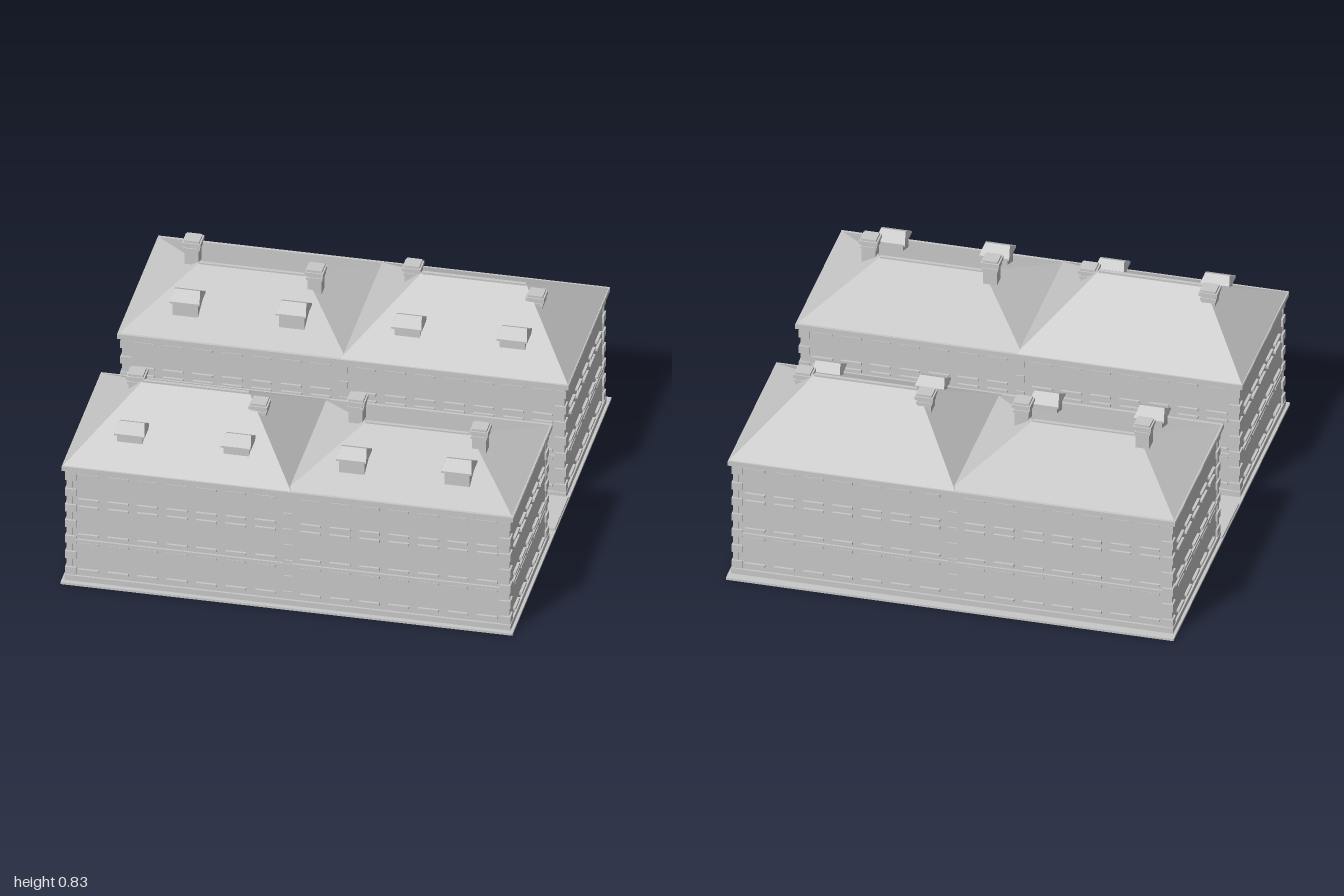
import * as THREE from 'three';

const stone = new THREE.MeshStandardMaterial({ color: 0xc8c8c8 });
stone.name = 'pale grey stone';

// Box given by its limits on each axis
function block(parent, name, x0, x1, y0, y1, z0, z1) {
  const m = new THREE.Mesh(new THREE.BoxGeometry(x1 - x0, y1 - y0, z1 - z0), stone);
  m.position.set((x0 + x1) / 2, (y0 + y1) / 2, (z0 + z1) / 2);
  m.name = name;
  parent.add(m);
  return m;
}

// Hipped roof: rectangular eaves rising to a ridge along x, with flat faces
function hipRoof(parent, name, x0, x1, z0, z1, y0, y1, r0, r1, rz) {
  const a = [x0, y0, z1], b = [x1, y0, z1], c = [x1, y0, z0], d = [x0, y0, z0];
  const p = [r0, y1, rz], q = [r1, y1, rz];
  const faces = [a, b, q, a, q, p, b, c, q, c, d, p, c, p, q, d, a, p, a, d, c, a, c, b];
  const g = new THREE.BufferGeometry();
  g.setAttribute('position', new THREE.Float32BufferAttribute(faces.flat(), 3));
  g.computeVertexNormals();
  const m = new THREE.Mesh(g, stone);
  m.name = name;
  parent.add(m);
}

function chimney(parent, x, z, top) {
  const g = new THREE.Group();
  g.name = 'chimney';
  const layer = (n, h, y0, y1) => block(g, n, x - h, x + h, y0, y1, z - h, z + h);
  layer('chimneyShaft', 0.031, top - 0.12, top - 0.012);
  layer('chimneyBand', 0.036, top - 0.05, top - 0.038);
  layer('chimneyCap', 0.041, top - 0.026, top - 0.01);
  layer('chimneyTop', 0.034, top - 0.01, top);
  parent.add(g);
}

function dormer(parent, x, z, bottom) {
  const g = new THREE.Group();
  g.name = 'dormer';
  block(g, 'dormerBody', x - 0.056, x + 0.056, bottom, 0.71, z - 0.045, z + 0.045);
  block(g, 'dormerEaves', x - 0.067, x + 0.067, 0.697, 0.706, z - 0.06, z + 0.06);
  hipRoof(g, 'dormerRoof', x - 0.067, x + 0.067, z - 0.06, z + 0.06, 0.706, 0.738, x - 0.055, x + 0.055, z);
  parent.add(g);
}

// Sills and lintels: [height of bar, thickness]
const BARS = [0.065, 0.2, 0.242, 0.383, 0.42, 0.546];

// One terrace of two joined houses; tallLeft says which house has the steeper roof
function terrace(name, zBack, zFront, eBack, eFront, ridgeZ, tallLeft) {
  const t = new THREE.Group();
  t.name = name;
  const W = 0.975;

  block(t, 'walls', -W, W, 0, 0.57, zBack, zFront);
  const around = (n, o, y0, y1) => block(t, n, -W - o, W + o, y0, y1, zBack - o, zFront + o);
  around('plinth', 0.01, 0, 0.036);
  around('stringCourse', 0.009, 0.206, 0.22);
  around('frieze', 0.008, 0.548, 0.562);
  block(t, 'cornice', -0.997, 0.997, 0.562, 0.585, eBack, eFront);

  // Sills and lintels on the long and short walls
  for (const y of BARS) {
    for (const s of [-1, 1]) {
      for (let i = 0; i < 7; i++) {
        const x = s * (0.1 + i * 0.13);
        block(t, 'sillFront', x - 0.045, x + 0.045, y - 0.005, y + 0.006, zFront - 0.005, zFront + 0.011);
        block(t, 'sillBack', x - 0.045, x + 0.045, y - 0.005, y + 0.006, zBack - 0.011, zBack + 0.005);
      }
      const pitch = (zFront - zBack) / 6;
      for (let i = 0; i < 5; i++) {
        const z = zBack + (i + 1) * pitch;
        block(t, 'sillEnd', s * W - 0.012, s * W + 0.012, y - 0.005, y + 0.006, z - 0.045, z + 0.045);
      }
    }
  }

  // Corner quoins, alternately long and short
  for (let i = 0; i < 13; i++) {
    const y = 0.04 + i * 0.0395, l = i % 2 ? 0.022 : 0.04, o = i % 2 ? 0.003 : 0.009;
    for (const s of [-1, 1]) {
      const xs = [s * (W + o), s * (W - l)].sort((a, b) => a - b);
      block(t, 'quoinFront', xs[0], xs[1], y, y + 0.036, zFront - l, zFront + o);
      block(t, 'quoinBack', xs[0], xs[1], y, y + 0.036, zBack - o, zBack + l);
    }
    if (i % 2 === 0) block(t, 'partyQuoin', -0.02, 0.02, y, y + 0.036, zBack - 0.006, zFront + 0.006);
  }

  // Roofs with ridge tiles, dormers and chimneys
  for (const s of [-1, 1]) {
    const tall = (s < 0) === tallLeft;
    const top = tall ? 0.815 : 0.735;
    const [x0, x1] = s < 0 ? [-0.998, 0.02] : [-0.02, 0.998];
    const [r0, r1] = s < 0 ? [-0.725, -0.255] : [0.26, 0.72];
    hipRoof(t, 'roof', x0, x1, eBack, eFront, 0.58, top, r0, r1, ridgeZ);
    block(t, 'ridgeTiles', r0, r1, top - 0.01, top + 0.004, ridgeZ - 0.008, ridgeZ + 0.008);
    const dz = eFront - 0.18;
    const front = dz + 0.045;
    const bottom = 0.578 + (eFront - front) / (eFront - ridgeZ) * (top - 0.58);
    for (const x of s < 0 ? [-0.725, -0.255] : [0.255, 0.72]) dormer(t, x, dz, bottom);
  }
  for (const x of [-0.76, 0.212]) chimney(t, x, ridgeZ - 0.04, 0.835);
  for (const x of [-0.2, 0.775]) chimney(t, x, ridgeZ + 0.042, 0.808);
  return t;
}

export function createModel() {
  const model = new THREE.Group();
  model.name = 'terracedHouses';

  // Ground slab and raised lane
  block(model, 'groundSlab', -0.998, 0.998, 0, 0.01, -1, 1);
  block(model, 'lane', -0.995, 0.995, 0.01, 0.02, -0.15, 0.13);

  model.add(terrace('frontTerrace', 0.205, 0.967, 0.185, 0.982, 0.58, true));
  model.add(terrace('backTerrace', -0.948, -0.15, -0.97, -0.135, -0.55, false));

  // Stepped entrances along the lane
  for (const x of [-0.76, -0.49, 0.47, 0.74]) {
    block(model, 'lowerStep', x - 0.1, x + 0.1, 0.01, 0.07, -0.15, -0.124);
    block(model, 'upperStep', x - 0.1, x + 0.1, 0.07, 0.122, -0.15, -0.138);
  }
  return model;
}
